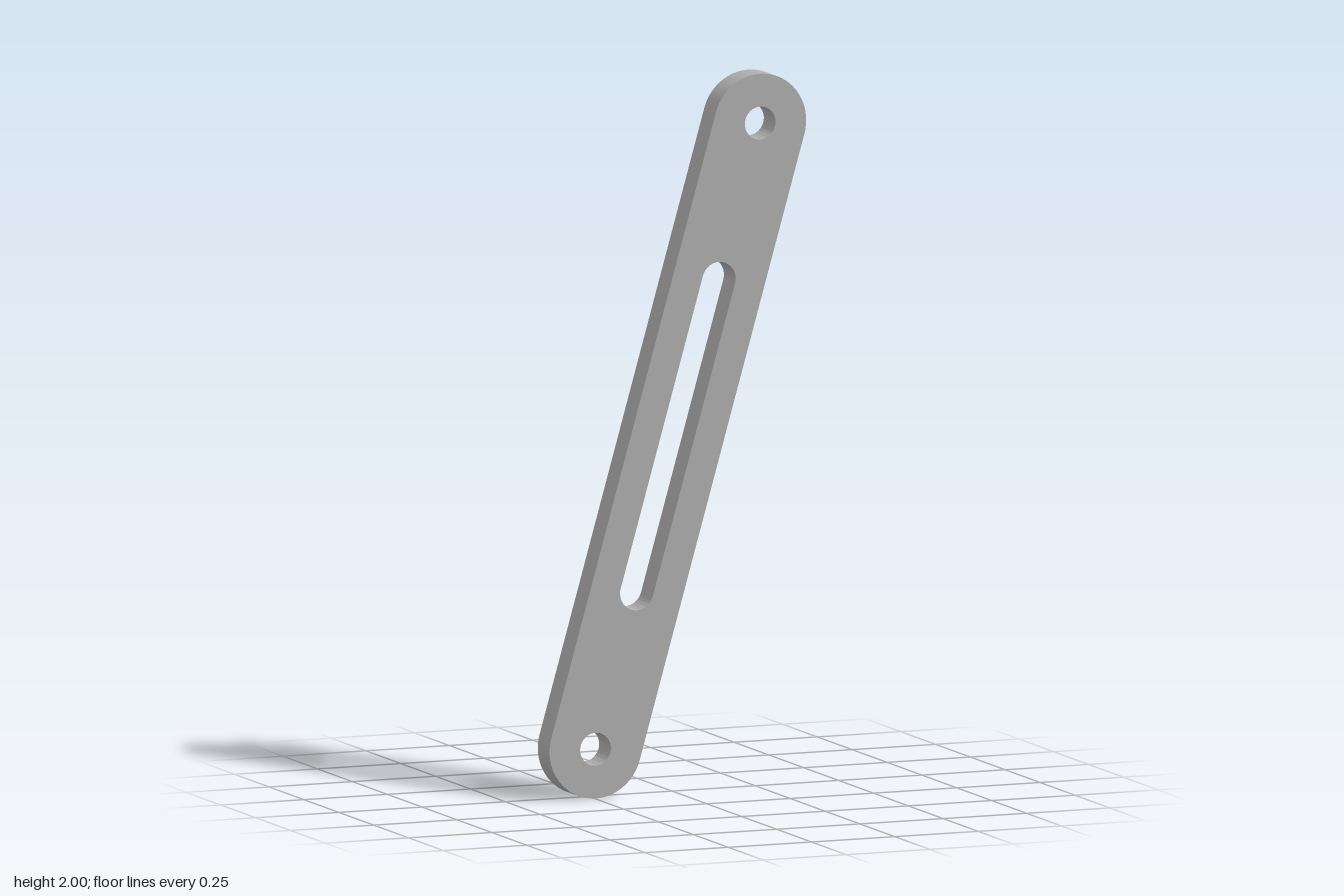
import * as THREE from 'three';
import { toCreasedNormals } from 'three/addons/utils/BufferGeometryUtils.js';

const HALF_SPAN = 0.897;   // link centre to pivot hole centre
const END_RADIUS = 0.138;
const HOLE_RADIUS = 0.046;
const SLOT_HALF = 0.448;   // link centre to slot arc centre
const SLOT_RADIUS = 0.05;
const THICKNESS = 0.084;
const LEAN = Math.atan2(0.247, 0.862);

// Rounded-end outline running along y
function capsule(path, half, radius) {
  path.moveTo(radius, -half);
  path.lineTo(radius, half);
  path.absarc(0, half, radius, 0, Math.PI, false);
  path.lineTo(-radius, -half);
  path.absarc(0, -half, radius, Math.PI, Math.PI * 2, false);
  return path;
}

export function createModel() {
  const model = new THREE.Group();
  model.name = 'slottedLink';

  const steel = new THREE.MeshStandardMaterial({ color: 0xb0b0b0 });
  steel.name = 'steel grey';

  // Bar outline with the long slot and a pivot hole at each end
  const shape = capsule(new THREE.Shape(), HALF_SPAN, END_RADIUS);
  shape.holes.push(capsule(new THREE.Path(), SLOT_HALF, SLOT_RADIUS));
  for (const side of [-1, 1]) {
    shape.holes.push(new THREE.Path().absarc(0, side * HALF_SPAN, HOLE_RADIUS, 0, Math.PI * 2, false));
  }

  const extruded = new THREE.ExtrudeGeometry(shape, {
    depth: THICKNESS, bevelEnabled: false, curveSegments: 40,
  });
  extruded.translate(0, 0, -THICKNESS / 2);
  const geometry = toCreasedNormals(extruded, Math.PI / 6);
  geometry.clearGroups();

  // Leaning link bar
  const bar = new THREE.Mesh(geometry, steel);
  bar.name = 'linkBar';
  bar.rotation.z = -LEAN;
  bar.position.y = 1;
  model.add(bar);

  return model;
}
